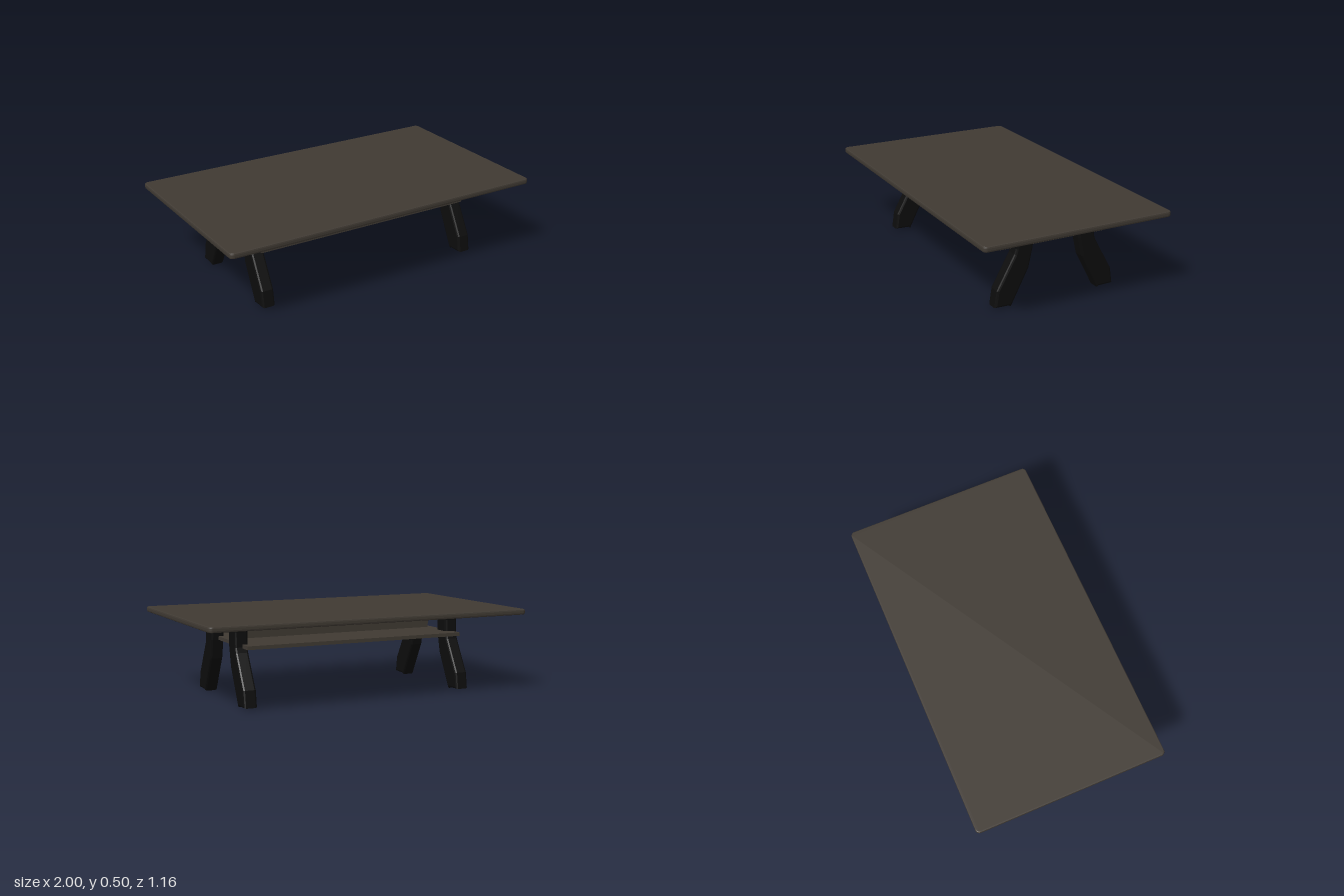
import * as THREE from 'three';

// Extrude a shape to a full depth, centred on z, with chamfers kept inside the outline
function chamfered(shape, depth, bevel, thick = bevel) {
  const g = new THREE.ExtrudeGeometry(shape, {
    depth: depth - 2 * thick, bevelEnabled: true, bevelSize: bevel, bevelThickness: thick,
    bevelOffset: -bevel, bevelSegments: 2, curveSegments: 5,
  });
  return g.translate(0, 0, -(depth - 2 * thick) / 2);
}

function roundedRect(w, h, r) {
  const s = new THREE.Shape(), x = w / 2, y = h / 2;
  s.moveTo(-x + r, -y);
  s.lineTo(x - r, -y).absarc(x - r, -y + r, r, -Math.PI / 2, 0);
  s.lineTo(x, y - r).absarc(x - r, y - r, r, 0, Math.PI / 2);
  s.lineTo(-x + r, y).absarc(-x + r, y - r, r, Math.PI / 2, Math.PI);
  s.lineTo(-x, -y + r).absarc(-x + r, -y + r, r, Math.PI, Math.PI * 1.5);
  return s;
}

export function createModel() {
  const table = new THREE.Group();
  table.name = 'coffeeTable';
  const wood = new THREE.MeshStandardMaterial({ color: 0x403a33 });
  wood.name = 'dark brown wood';
  const black = new THREE.MeshStandardMaterial({ color: 0x0d0d0d });
  black.name = 'black leg';

  const add = (name, geometry, material, x, y, z) => {
    const mesh = new THREE.Mesh(geometry, material);
    mesh.name = name;
    mesh.position.set(x, y, z);
    table.add(mesh);
    return mesh;
  };

  // Tabletop with rounded corners and a chamfered rim
  const top = chamfered(roundedRect(2, 1.16, 0.025), 0.032, 0.006, 0.01);
  add('tabletop', top.rotateX(-Math.PI / 2), wood, 0, 0.486, 0);

  // Shelf hung from a central panel
  add('shelf', new THREE.BoxGeometry(1.38, 0.021, 0.66), wood, 0, 0.34, 0);
  add('centrePanel', new THREE.BoxGeometry(1.31, 0.126, 0.027), wood, 0, 0.41, 0.002);

  // Curved leg side profile: distance from the centre, height
  const profile = new THREE.Shape([
    [0.152, 0.475], [0.143, 0.42], [0.141, 0.38], [0.146, 0.33], [0.171, 0.215],
    [0.28, 0.003], [0.292, 0.01], [0.381, 0.012], [0.366, 0.11], [0.258, 0.305],
    [0.249, 0.335], [0.247, 0.42], [0.257, 0.475],
  ].map(([z, y]) => new THREE.Vector2(z, y)));
  const leg = chamfered(profile, 0.08, 0.012);

  for (const side of [1, -1]) {
    for (const end of [1, -1]) {
      const name = (end > 0 ? 'front' : 'back') + (side > 0 ? 'Left' : 'Right') + 'Leg';
      const mesh = add(name, leg, black, 0.0075 + side * 0.6875, 0, -0.003);
      mesh.rotation.y = -end * Math.PI / 2;
    }
  }
  return table;
}
